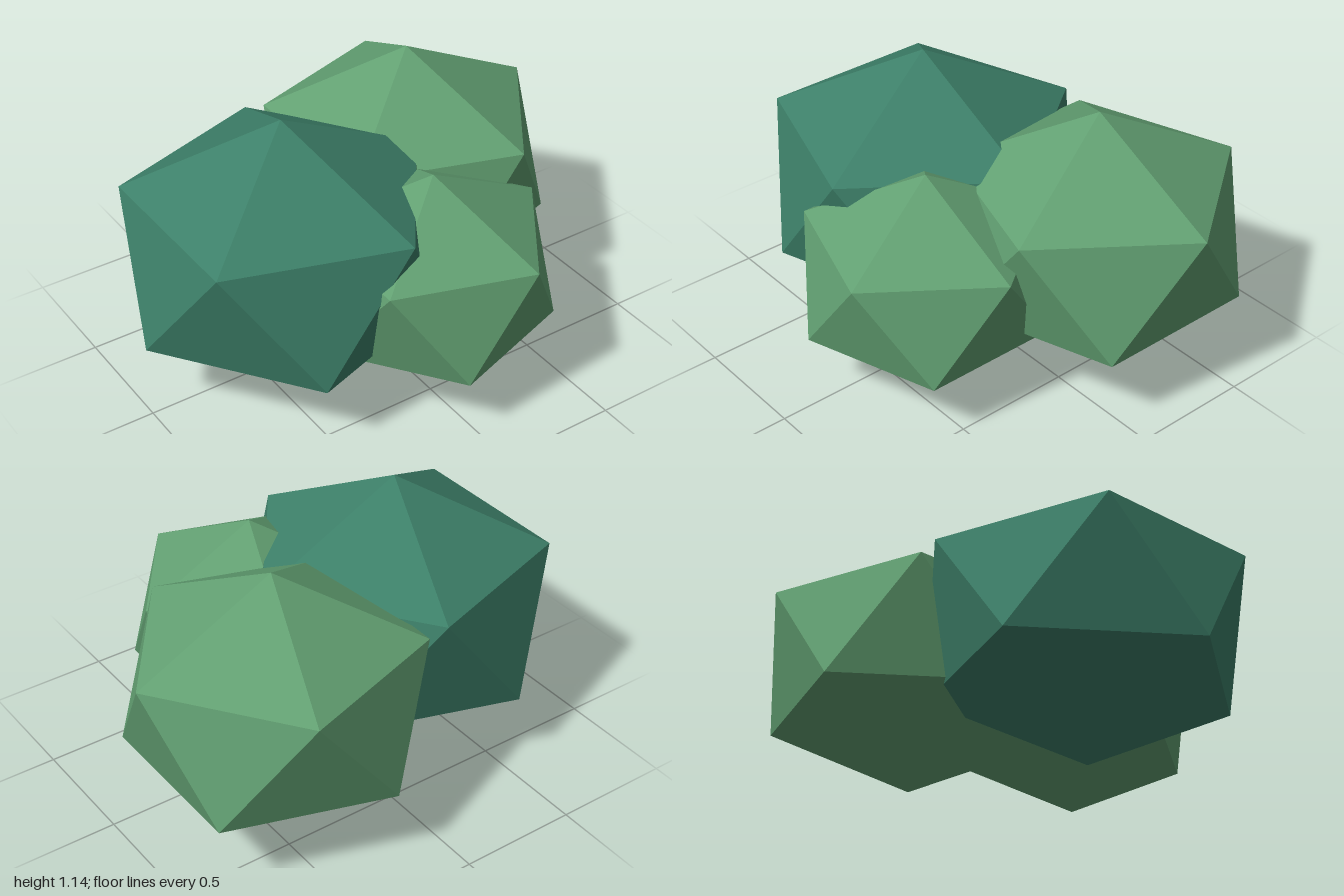
import * as THREE from 'three';

// Leafy clump: icosahedron standing on one vertex, slightly squashed, ring vertex toward +x
function clump(name, color, radius, x, y, z) {
  const geometry = new THREE.IcosahedronGeometry(radius, 0);
  geometry.rotateX(-Math.atan((1 + Math.sqrt(5)) / 2));
  geometry.rotateY(Math.PI / 2);
  geometry.scale(1, 0.8, 1);
  geometry.computeVertexNormals();
  const mesh = new THREE.Mesh(
    geometry,
    new THREE.MeshStandardMaterial({ color, flatShading: true })
  );
  mesh.name = name;
  mesh.position.set(x, y, z);
  return mesh;
}

export function createModel() {
  const bush = new THREE.Group();
  bush.name = 'bush';
  bush.add(
    clump('darkClump', 0x3d8069, 0.715, -0.362, 0.573, -0.008),
    clump('backClump', 0x62a072, 0.665, 0.404, 0.573, -0.263),
    clump('frontClump', 0x62a072, 0.56, 0.098, 0.473, 0.35)
  );
  return bush;
}
